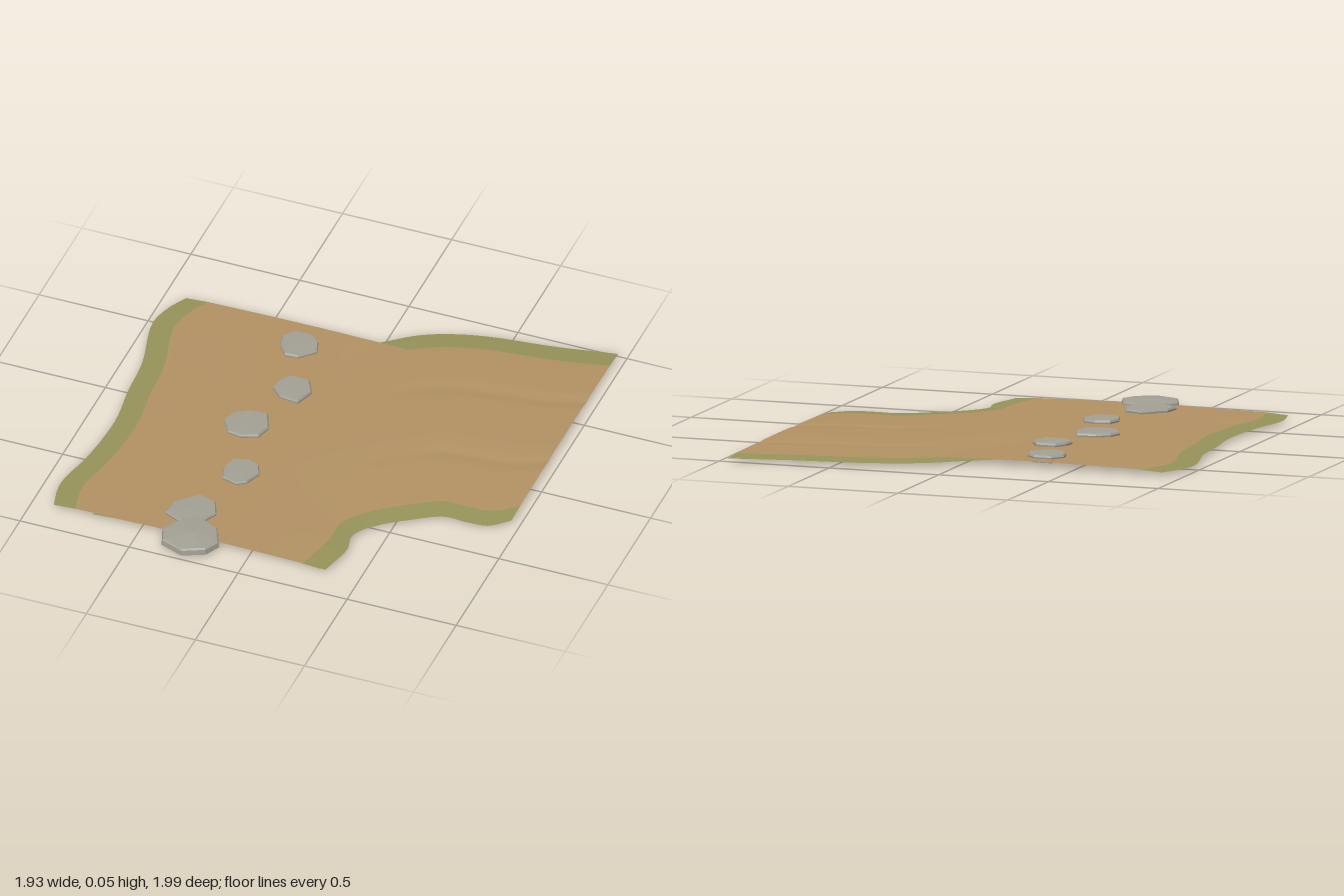
import * as THREE from 'three';

const earth = new THREE.MeshStandardMaterial({ color: 0xb39264, side: THREE.DoubleSide });
earth.name = 'packedEarth';
const grass = new THREE.MeshStandardMaterial({ color: 0x96935a, side: THREE.DoubleSide });
grass.name = 'grassVerge';
const rock = new THREE.MeshStandardMaterial({ color: 0xa3a095, flatShading: true });
rock.name = 'greyStone';

const VERGE = 0.1;
const curve = (pts) => new THREE.CatmullRomCurve3(pts.map(([x, z]) => new THREE.Vector3(x, 0, z)), false, 'centripetal');

// Ribbon of ground between two edge curves: grass strips outside, crowned earth with wheel ruts inside
function ribbon(name, edgeA, edgeB, ruts, rutDepth) {
  const a = curve(edgeA), b = curve(edgeB), rows = 54, inner = 40;
  const pos = [], cols = inner + 3;
  for (let i = 0; i <= rows; i++) {
    const t = i / rows;
    const p = a.getPoint(t), q = b.getPoint(t);
    const v = VERGE / p.distanceTo(q);
    for (let j = 0; j < cols; j++) {
      const f = (j - 1) / inner;
      let s = v + f * (1 - 2 * v), y = 0.021 + 0.006 * Math.sin(Math.PI * f);
      if (j === 0) { s = 0; y = 0.014; }
      if (j === cols - 1) { s = 1; y = 0.014; }
      for (const r of ruts) {
        const d = (s - r) / 0.022;
        y -= rutDepth(t) * Math.exp(-d * d);
      }
      pos.push(p.x + (q.x - p.x) * s, y, p.z + (q.z - p.z) * s);
    }
  }
  const green = [], brown = [];
  for (let i = 0; i < rows; i++) {
    for (let j = 0; j < cols - 1; j++) {
      const k = i * cols + j, n = k + cols;
      (j === 0 || j === cols - 2 ? green : brown).push(k, n, k + 1, k + 1, n, n + 1);
    }
  }
  const g = new THREE.BufferGeometry();
  g.setAttribute('position', new THREE.Float32BufferAttribute(pos, 3));
  g.setIndex([...green, ...brown]);
  g.addGroup(0, green.length, 0);
  g.addGroup(green.length, brown.length, 1);
  g.computeVertexNormals();
  const m = new THREE.Mesh(g, [grass, earth]);
  m.name = name;
  return m;
}

// Chipped slab: outline (clockwise in x, z seen from above) stacked as [scale, y] rings from bottom to top
function stone(name, outline, rings) {
  const n = outline.length, pos = [], idx = [];
  const cx = outline.reduce((s, p) => s + p[0], 0) / n;
  const cz = outline.reduce((s, p) => s + p[1], 0) / n;
  for (const [s, y] of rings) {
    for (const [x, z] of outline) pos.push(cx + (x - cx) * s, y, cz + (z - cz) * s);
  }
  for (let r = 0; r < rings.length - 1; r++) {
    for (let i = 0; i < n; i++) {
      const a = r * n + i, b = r * n + (i + 1) % n;
      idx.push(a, a + n, b, b, a + n, b + n);
    }
  }
  const g = new THREE.BufferGeometry();
  g.setAttribute('position', new THREE.Float32BufferAttribute(pos, 3));
  g.setIndex(idx);
  const flat = g.toNonIndexed();
  flat.computeVertexNormals();
  const m = new THREE.Mesh(flat, rock);
  m.name = name;
  return m;
}

export function createModel() {
  const group = new THREE.Group();
  group.name = 'pathJunction';

  // Straight path
  const leftEdge = [[-0.9, -0.69], [-0.945, -0.6], [-0.97, -0.48], [-0.91, -0.2], [-0.895, 0], [-0.87, 0.22],
    [-0.89, 0.5], [-0.925, 0.67], [-0.925, 0.75], [-0.9, 0.86]];
  const rightEdge = leftEdge.map(([, z]) => [z > 0.8 ? 0.32 : 0.28, z]);
  group.add(ribbon('straightPath', leftEdge, rightEdge, [0.35, 0.7], (t) => 0.0015 * Math.sin(Math.PI * t)));

  // Branch bending in from the side
  group.add(ribbon('branchPath',
    [[0.96, -1], [0.7, -0.95], [0.4, -0.91], [0.25, -0.87], [0.12, -0.81], [-0.02, -0.7],
      [-0.3, -0.5], [-0.6, -0.22], [-0.7, 0.3], [-0.72, 0.86]],
    [[0.96, 0.25], [0.88, 0.32], [0.78, 0.33], [0.68, 0.33], [0.56, 0.4], [0.45, 0.48],
      [0.38, 0.56], [0.365, 0.61], [0.38, 0.69], [0.345, 0.86]],
    [0.3, 0.656], (t) => 0.006 * THREE.MathUtils.clamp((0.6 - t) / 0.25, 0, 1)));

  // Stepping stones
  const slabs = [
    [[-0.37, -0.62], [-0.29, -0.62], [-0.25, -0.58], [-0.23, -0.52], [-0.295, -0.455], [-0.355, -0.45], [-0.4, -0.51], [-0.41, -0.57]],
    [[-0.28, -0.32], [-0.19, -0.32], [-0.15, -0.25], [-0.18, -0.16], [-0.27, -0.17], [-0.32, -0.22], [-0.31, -0.27]],
    [[-0.355, -0.03], [-0.27, -0.04], [-0.23, 0.05], [-0.25, 0.12], [-0.32, 0.15], [-0.385, 0.14], [-0.43, 0.07], [-0.41, 0.01]],
    [[-0.23, 0.29], [-0.175, 0.31], [-0.15, 0.365], [-0.18, 0.44], [-0.22, 0.465], [-0.29, 0.445], [-0.31, 0.38], [-0.295, 0.31]],
    [[-0.33, 0.59], [-0.25, 0.62], [-0.22, 0.69], [-0.26, 0.77], [-0.35, 0.795], [-0.43, 0.76], [-0.42, 0.68]],
  ];
  slabs.forEach((o, i) => group.add(stone('steppingStone' + (i + 1), o,
    [[0, 0.01], [0.95, 0.01], [1, 0.034], [0.94, 0.042], [0, 0.043]])));

  // Larger stone at the front end
  group.add(stone('frontStone',
    [[-0.285, 0.73], [-0.175, 0.785], [-0.135, 0.875], [-0.17, 0.945], [-0.265, 0.99], [-0.37, 0.95], [-0.4, 0.87], [-0.35, 0.78]],
    [[0, 0], [0.9, 0.008], [1, 0.012], [0.98, 0.036], [0.92, 0.043], [0, 0.052]]));

  return group;
}
